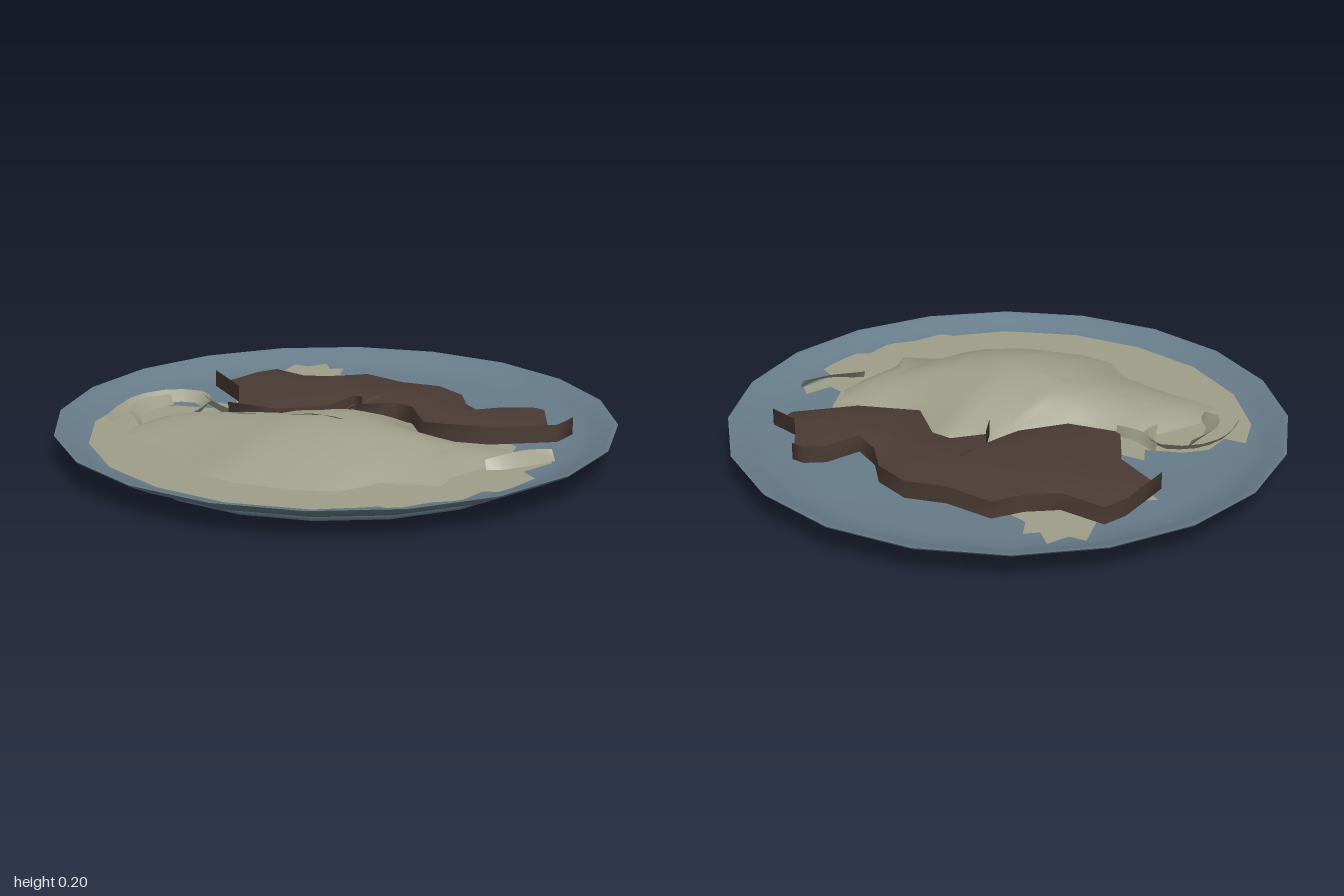
import * as THREE from 'three';

const plateBlue = new THREE.MeshStandardMaterial({ color: 0x687c8a });
const pastaCream = new THREE.MeshStandardMaterial({ color: 0x9f9e8a, side: THREE.DoubleSide });
const sauceBrown = new THREE.MeshStandardMaterial({ color: 0x4b3b35 });

function part(name, geometry, material) {
  const mesh = new THREE.Mesh(geometry, material);
  mesh.name = name;
  return mesh;
}

function build(positions, index) {
  const g = new THREE.BufferGeometry();
  g.setAttribute('position', new THREE.Float32BufferAttribute(positions, 3));
  g.setIndex(index);
  g.computeVertexNormals();
  return g;
}

// Point of a spine [x, z, y] nearest in x
function onSpine(spine, x) {
  const last = spine.length - 1;
  if (x <= spine[0][0]) return spine[0];
  for (let i = 0; i < last; i++) {
    const [a, b] = [spine[i], spine[i + 1]];
    if (x <= b[0]) {
      const t = (x - a[0]) / (b[0] - a[0]);
      return a.map((v, k) => v + (b[k] - v) * t);
    }
  }
  return spine[last];
}

// Rounded mass rising from an outline [x, z] to a spine
function mound(outline, spine, base, rings) {
  const pos = [], index = [], n = outline.length;
  for (let r = 0; r <= rings; r++) {
    const t = r / rings, rise = Math.sin(t * Math.PI / 2);
    for (const [x, z] of outline) {
      const [sx, sz, sy] = onSpine(spine, x);
      pos.push(x + (sx - x) * t, base + (sy - base) * rise, z + (sz - z) * t);
    }
  }
  for (let r = 0; r < rings; r++) {
    for (let i = 0; i < n; i++) {
      const a = r * n + i, b = r * n + (i + 1) % n;
      index.push(a, a + n, b, b, a + n, b + n);
    }
  }
  return build(pos, index);
}

// Upright lip round an outline, facing inwards with outward shading
function lip(outline, low, high) {
  const pos = [], index = [], n = outline.length;
  for (const [x, z] of outline) pos.push(x, low, z, x, high, z);
  for (let i = 0; i < n; i++) {
    const a = 2 * i, b = 2 * ((i + 1) % n);
    index.push(a, a + 1, b, b, a + 1, b + 1);
  }
  const g = build(pos, index);
  const normal = g.attributes.normal;
  for (let i = 0; i < normal.array.length; i++) normal.array[i] *= -1;
  return g;
}

// Flat ribbon along a curve, leaning to one side
function ribbon(points, width, lean) {
  const curve = new THREE.CatmullRomCurve3(points.map(p => new THREE.Vector3(...p)));
  const pos = [], index = [], steps = 10;
  for (let i = 0; i <= steps; i++) {
    const p = curve.getPoint(i / steps), d = curve.getTangent(i / steps);
    const w = width * (0.35 + 0.65 * Math.sin(Math.PI * i / steps)) / 2;
    pos.push(p.x - d.z * w, p.y + lean, p.z + d.x * w, p.x + d.z * w, p.y - lean, p.z - d.x * w);
    if (i < steps) index.push(2 * i, 2 * i + 1, 2 * i + 2, 2 * i + 1, 2 * i + 3, 2 * i + 2);
  }
  return build(pos, index);
}

function lathe(points) {
  return new THREE.LatheGeometry(points.map(p => new THREE.Vector2(...p)), 20);
}

export function createModel() {
  const model = new THREE.Group();
  model.name = 'plateOfPasta';

  // Plate: recessed foot, flared underside and shallow inside
  const plate = new THREE.Group();
  plate.name = 'plate';
  plate.add(
    part('plateBase', lathe([[0, 0.015], [0.75, 0.015]]), plateBlue),
    part('footInside', lathe([[0.75, 0.015], [0.76, 0]]), plateBlue),
    part('footRing', lathe([[0.76, 0], [0.785, 0], [0.785, 0.02]]), plateBlue),
    part('plateUnderside', lathe([[0.785, 0.02], [0.84, 0.033], [0.91, 0.06], [0.995, 0.103], [1, 0.11]]), plateBlue),
    part('plateInside', lathe([[1, 0.11], [0.98, 0.108], [0.93, 0.085], [0.88, 0.07], [0.8, 0.058], [0.5, 0.05], [0, 0.045]]), plateBlue),
  );
  model.add(plate);

  // Thin layer of pasta across the plate
  const layer = [
    [-0.54, 0.05], [-0.5, 0.12], [-0.62, 0.18], [-0.68, 0.25], [-0.68, 0.36], [-0.76, 0.37], [-0.7, 0.52],
    [-0.52, 0.71], [-0.27, 0.84], [0, 0.88], [0.27, 0.84], [0.52, 0.71], [0.62, 0.6], [0.66, 0.55], [0.71, 0.54],
    [0.76, 0.41], [0.82, 0.34], [0.82, 0.22], [0.87, 0.18], [0.87, 0], [0.8, -0.03], [0.82, -0.17], [0.77, -0.21],
    [0.74, -0.11], [0.68, -0.12], [0.62, -0.24], [0.4, -0.3], [-0.3, -0.5], [-0.4, -0.54], [-0.46, -0.55],
    [-0.5, -0.62], [-0.54, -0.58], [-0.6, -0.63], [-0.63, -0.55], [-0.69, -0.54], [-0.65, -0.42], [-0.6, -0.3],
    [-0.73, -0.17], [-0.6, -0.1], [-0.45, 0.04],
  ];
  const sheet = new THREE.ShapeGeometry(new THREE.Shape(layer.map(([x, z]) => new THREE.Vector2(x, -z))));
  sheet.rotateX(-Math.PI / 2).translate(0, 0.073, 0);
  model.add(part('pastaLayer', sheet, pastaCream));

  // Heaped pasta
  const heap = [
    [-0.55, 0.42], [-0.46, 0.22], [-0.36, 0.17], [-0.17, 0.13], [-0.06, 0], [-0.04, -0.15], [0.02, -0.11],
    [0.1, -0.21], [0.18, -0.21], [0.33, -0.09], [0.5, -0.15], [0.62, -0.2], [0.68, -0.1], [0.68, 0.02], [0.66, 0.18],
    [0.69, 0.27], [0.52, 0.37], [0.47, 0.53], [0.34, 0.62], [0.14, 0.69], [0, 0.69], [-0.1, 0.61], [-0.3, 0.58],
    [-0.52, 0.57],
  ];
  const ridge = [[-0.38, 0.34, 0.125], [-0.24, 0.32, 0.158], [-0.06, 0.27, 0.167], [0.1, 0.24, 0.198],
    [0.26, 0.2, 0.2], [0.4, 0.15, 0.165], [0.54, 0.08, 0.12]];
  model.add(part('pastaHeap', mound(heap, ridge, 0.072, 8), pastaCream));

  // Brown sauce with a raised lip
  const pool = [
    [-0.7, -0.1], [-0.705, -0.33], [-0.68, -0.42], [-0.51, -0.42], [-0.42, -0.5], [-0.36, -0.6], [-0.18, -0.6],
    [-0.04, -0.65], [0.1, -0.61], [0.19, -0.52], [0.3, -0.47], [0.34, -0.6], [0.4, -0.65], [0.45, -0.65],
    [0.57, -0.5], [0.69, -0.48], [0.7, -0.37], [0.54, -0.19], [0.33, -0.09], [0.18, -0.21], [0.1, -0.21],
    [0.01, -0.1], [-0.04, -0.19], [-0.07, -0.18], [-0.06, -0.02], [-0.17, 0.13], [-0.36, 0.18], [-0.48, 0],
  ];
  const crest = [[-0.52, -0.24, 0.115], [-0.3, -0.26, 0.118], [0, -0.38, 0.115], [0.3, -0.36, 0.112], [0.52, -0.4, 0.112]];
  const sauce = new THREE.Group();
  sauce.name = 'sauce';
  sauce.add(
    part('saucePool', mound(pool, crest, 0.08, 5), sauceBrown),
    part('sauceLip', lip(pool, 0.075, 0.138), sauceBrown),
  );
  model.add(sauce);

  // Loose strands
  const strands = [
    [[[-0.46, 0.28, 0.08], [-0.48, 0.17, 0.1], [-0.57, 0.125, 0.105], [-0.67, 0.2, 0.105], [-0.7, 0.33, 0.1], [-0.66, 0.49, 0.08]], 0.045],
    [[[-0.63, 0.2, 0.1], [-0.64, 0.32, 0.105], [-0.6, 0.41, 0.1], [-0.53, 0.46, 0.08]], 0.05],
    [[[-0.55, 0.11, 0.1], [-0.46, 0.15, 0.1], [-0.35, 0.17, 0.09]], 0.02],
    [[[0.81, -0.19, 0.095], [0.77, -0.09, 0.1], [0.69, 0.03, 0.085]], 0.06],
  ];
  for (const [path, width] of strands) {
    model.add(part('strand', ribbon(path.map(([x, z, y]) => [x, y, z]), width, 0.018), pastaCream));
  }
  return model;
}
